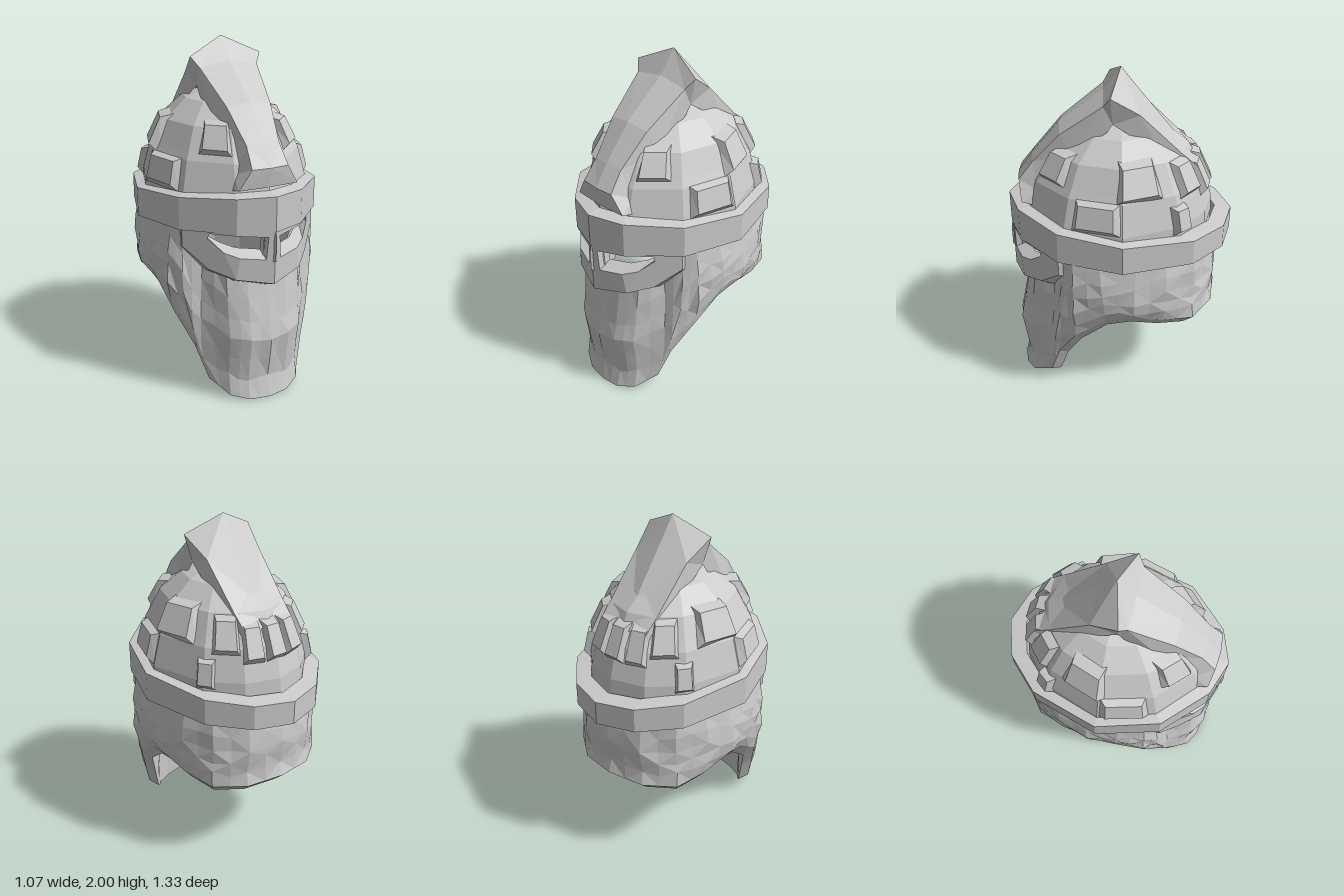
import * as THREE from 'three';

const material = new THREE.MeshStandardMaterial({ color: 0xcccccc, flatShading: true, side: THREE.DoubleSide });

// Half plan of the brim, front to back: [x, z]
const PLAN = [[0, 0.66], [0.2, 0.59], [0.435, 0.36], [0.535, 0], [0.41, -0.4], [0.22, -0.59], [0, -0.66]];
// Dome profile: [height, scale of the plan]
const DOME = [[1.1, 0.91], [1.2, 0.9], [1.38, 0.81], [1.42, 0.77], [1.55, 0.65], [1.66, 0.42], [1.73, 0.1], [1.74, 0]];
// In-and-out wave of the curtain from its hem (0) to its top (1)
const WAVE = [[0, 0], [0.2, -0.02], [0.5, 0.045], [0.75, 0.02], [1, 0]];

const lerp = THREE.MathUtils.lerp;
const flip = ([x, y, z]) => [-x, y, z];

// Half row (front to back) -> full loop round the model
const ring = half => [...half, ...half.slice(1, -1).reverse().map(flip), half[0]];

// Skin of quads through rows of points, lowest row first
function loft(rows) {
  const pos = [];
  for (let i = 0; i < rows.length - 1; i++) {
    for (let j = 0; j < rows[i].length - 1; j++) {
      const a = rows[i][j], b = rows[i][j + 1], c = rows[i + 1][j + 1], d = rows[i + 1][j];
      if ((i + j) % 2) pos.push(...a, ...b, ...c, ...a, ...c, ...d);
      else pos.push(...a, ...b, ...d, ...b, ...c, ...d);
    }
  }
  const g = new THREE.BufferGeometry();
  g.setAttribute('position', new THREE.Float32BufferAttribute(pos, 3));
  g.computeVertexNormals();
  return g;
}

function add(parent, name, geometry) {
  const mesh = new THREE.Mesh(geometry, material);
  mesh.name = name;
  parent.add(mesh);
}

// Straight-line lookup in a table of [key, value]
function lookup(table, k) {
  let i = 0;
  while (i < table.length - 2 && k > table[i + 1][0]) i++;
  const [k0, v0] = table[i], [k1, v1] = table[i + 1];
  return lerp(v0, v1, (k - k0) / (k1 - k0));
}

// Point on the dome; u runs 0 (front) to 6 (back) and on round the other side
function domePoint(u, y, off = 0) {
  if (u > 6) return flip(domePoint(12 - u, y, off));
  const i = Math.min(Math.floor(u), 5), s = lookup(DOME, y) + off / 0.5;
  const z = lerp(PLAN[i][1], PLAN[i + 1][1], u - i) * s;
  return [lerp(PLAN[i][0], PLAN[i + 1][0], u - i) * s, y + off * 0.3, z < 0 ? z * 0.9 : z];
}

// Raised armour plate with bevelled sides
function addPlate(parent, u0, u1, y0, y1) {
  const loop = (inset, off) => {
    const du = (u1 - u0) * inset, dy = (y1 - y0) * inset;
    return [[u0 + du, y0 + dy], [u1 - du, y0 + dy], [u1 - du, y1 - dy], [u0 + du, y1 - dy]].map(([u, y]) => domePoint(u, y, off));
  };
  const base = loop(0, -0.01), top = loop(0.17, 0.036);
  const build = (b, t) => {
    const g = new THREE.Group();
    g.name = 'armourPlate';
    add(g, 'plateSides', loft([[...b, b[0]], [...t, t[0]]]));
    add(g, 'plateFace', loft([[t[0], t[1]], [t[3], t[2]]]));
    parent.add(g);
  };
  build(base, top);
  if (u1 <= 6) {
    const mirrored = l => [l[1], l[0], l[3], l[2]].map(flip);
    build(mirrored(base), mirrored(top));
  }
}

function addBrim(parent) {
  const row = (s, y, slope) => ring(PLAN.map(([x, z]) => [x * s, y + slope * z, z * s]));
  const inner = row(0.82, 1.0, 0.045);
  add(parent, 'brim', loft([inner, row(1, 1.0, 0.045), row(1, 1.17, 0.09), row(0.85, 1.185, 0.09), inner]));
}

function addCrest(parent) {
  // [half width, edge y, edge z, centre y, centre z, base half width]
  const sections = [
    [0.18, 1.26, 0.57, 1.26, 0.58, 0.19], [0.11, 1.37, 0.585, 1.37, 0.595, 0.16],
    [0.1, 1.48, 0.5, 1.49, 0.51, 0.16], [0.135, 1.66, 0.34, 1.68, 0.35, 0.17],
    [0.18, 1.84, 0.1, 1.87, 0.1, 0.175], [0.22, 1.9, 0.06, 2.0, 0, 0.175],
    [0.18, 1.79, -0.1, 1.87, -0.1, 0.18], [0.17, 1.56, -0.33, 1.57, -0.34, 0.18], [0.165, 1.47, -0.43, 1.47, -0.43, 0.17],
  ];
  const rows = sections.map(([w, ey, ez, cy, cz, bw]) => {
    const base = [bw, lerp(1.15, ey, 0.78), ez * 0.8], edge = [w, ey, ez];
    return [flip(base), flip(edge), [0, cy, cz], edge, base];
  });
  add(parent, 'crest', loft(rows));
}

// One half of the face guard: a bent, thick loop round the eye opening
function addVisor(parent, side) {
  const outer = [[0, 1.07], [0.2, 1.07], [0.42, 1.06], [0.42, 0.92], [0.31, 0.8], [0.2, 0.76], [0, 0.725]];
  const inner = [[0.035, 1.0], [0.2, 1.015], [0.31, 1.01], [0.315, 0.98], [0.25, 0.91], [0.18, 0.885], [0.045, 0.87]];
  const bend = [[0, 0.655], [0.2, 0.585], [0.43, 0.35]];
  const loop = (pts, dz, lift) => [...pts, pts[0]].map(([x, y]) =>
    [side * x * (1 + dz * 0.5), y + (y < 0.96 ? lift : 0), lookup(bend, x) + dz]);
  const rows = [loop(outer, 0, 0), loop(inner, 0, 0), loop(inner, -0.08, 0.035), loop(outer, -0.08, -0.035), loop(outer, 0, 0)];
  add(parent, 'visor', loft(side > 0 ? rows : rows.reverse()));
}

// Nose ridge between the eyes
function addNose(parent) {
  const row = (y, w, z) => [[-w, y, 0.6], [0, y, z], [w, y, 0.6]];
  add(parent, 'noseRidge', loft([row(0.86, 0.05, 0.665), row(0.98, 0.04, 0.665), row(1.08, 0.01, 0.65)]));
}

// Ragged neck curtain running forward into the long chin guard
function addCurtain(parent) {
  // Front to back: top x, y, z, hem x, y, z, sideways swell, share of the wave
  const key = [
    [0, 0.75, 0.565, 0, 0, 0.635, 0, 1], [0.12, 0.75, 0.56, 0.12, 0.005, 0.62, 0, 0.9],
    [0.23, 0.77, 0.52, 0.22, 0.03, 0.565, 0, 0.6], [0.31, 0.84, 0.39, 0.3, 0.1, 0.445, 0.04, 0.2],
    [0.41, 0.98, 0.34, 0.36, 0.3, 0.385, 0.03, 0], [0.45, 1.06, 0.28, 0.44, 0.49, 0.28, 0.03, 0],
    [0.47, 1.06, 0.13, 0.46, 0.61, 0.1, 0.05, 0], [0.47, 1.06, -0.08, 0.46, 0.63, -0.06, 0.05, 0],
    [0.44, 1.06, -0.25, 0.44, 0.6, -0.24, 0.02, 0], [0.36, 1.06, -0.4, 0.38, 0.57, -0.42, 0, -0.2],
    [0.2, 1.06, -0.51, 0.22, 0.58, -0.545, 0, -0.4], [0, 1.06, -0.535, 0, 0.59, -0.585, 0, -0.5],
  ];
  // Halve the spacing for finer facets
  const cols = key.flatMap((k, i) => i < key.length - 1 ? [k, k.map((v, n) => (v + key[i + 1][n]) / 2)] : [k]);
  const last = cols.length - 1, N = 6;
  const rough = (i, j) => { const s = Math.sin(i * 12.99 + j * 78.23) * 43758.5; return s - Math.floor(s) - 0.5; };
  const outer = [];
  for (let j = 0; j <= N; j++) {
    const t = j / N, swell = Math.sin(Math.PI * t ** 0.7), wave = lookup(WAVE, t);
    outer.push(ring(cols.map((c, i) => {
      const k = 1 + swell * rough(i, j) * (i < 5 ? 0.025 : 0.05);
      const shift = i === 0 || i === last ? 0 : swell * rough(j, i) * 0.05;
      return [lerp(c[3], c[0], t) * k + swell * c[6], lerp(c[4], c[1], t) + shift, lerp(c[5], c[2], t) * k + wave * c[7]];
    })));
  }
  const inner = [1, 0.75, 0.4, 0].map(t => ring(cols.map((c, i) => {
    const drop = lerp(0.035, -0.07, Math.min(i / 10, 1)) * (1 - t);
    return [lerp(c[3], c[0], t) * 0.87, lerp(c[4], c[1], t) + drop, lerp(c[5], c[2], t) * (i < 6 ? lerp(0.84, 0.87, t) : 0.87)];
  })));
  add(parent, 'neckAndChinGuard', loft([...inner, ...outer, inner[0]]));
}

export function createModel() {
  const model = new THREE.Group();
  model.name = 'helmet';

  const us = Array.from({ length: 13 }, (_, i) => i);
  add(model, 'dome', loft(DOME.map(([y]) => us.map(u => domePoint(u, y)))));
  addBrim(model);
  addCrest(model);

  // Armour plates: start, end, bottom, top
  const plates = [
    [1.0, 1.8, 1.41, 1.59], [2.85, 3.8, 1.37, 1.59], [2.1, 3.0, 1.2, 1.39], [3.85, 4.3, 1.15, 1.33],
    [4.15, 4.95, 1.34, 1.55], [4.95, 5.65, 1.29, 1.52], [5.65, 6.35, 1.29, 1.52],
  ];
  plates.forEach(p => addPlate(model, ...p));

  [1, -1].forEach(side => addVisor(model, side));
  addNose(model);
  addCurtain(model);
  return model;
}
